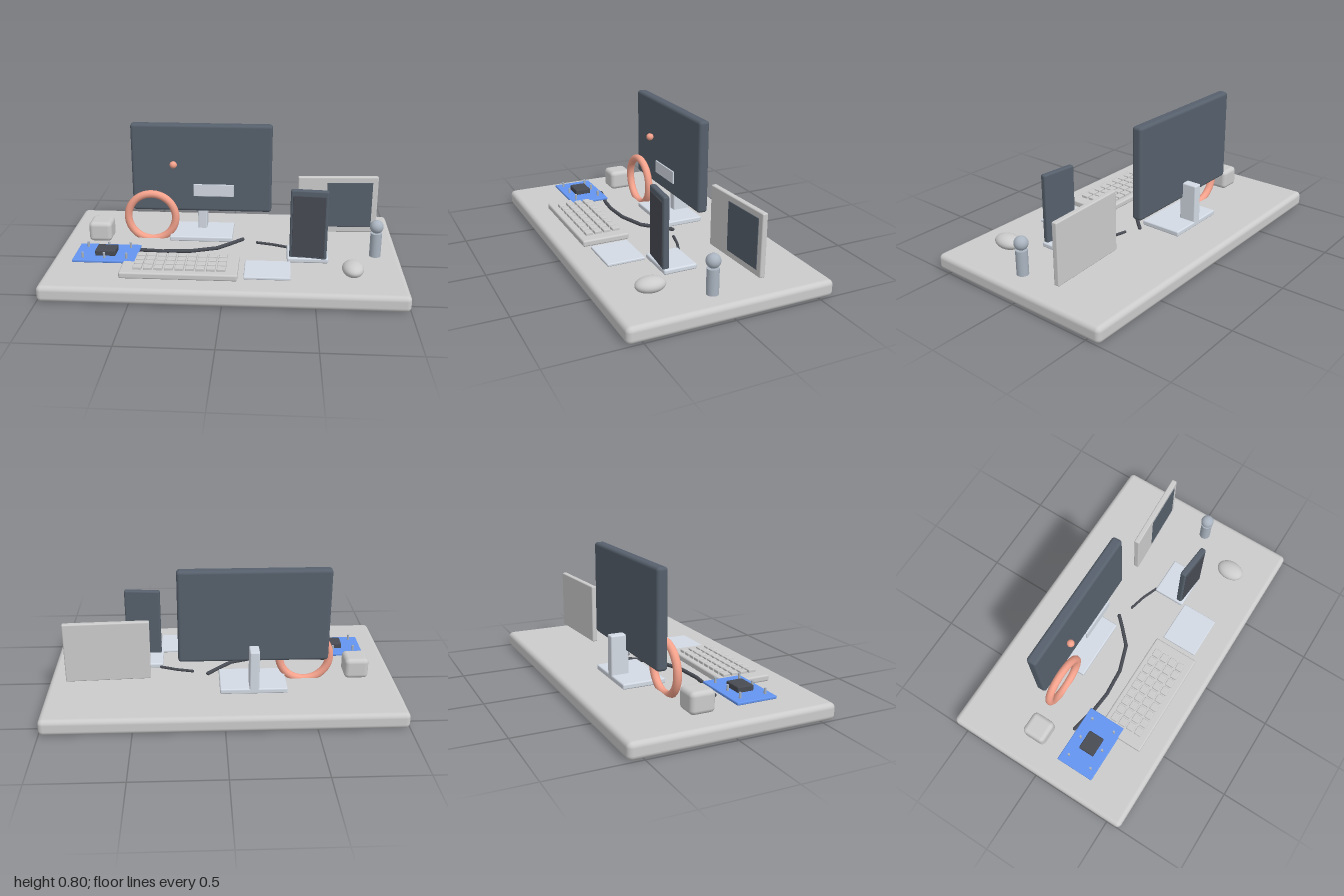
import * as THREE from 'three';
import { RoundedBoxGeometry } from 'three/addons/geometries/RoundedBoxGeometry.js';

const paint = (color) => new THREE.MeshStandardMaterial({ color });
const grey = paint(0xcccccc);
const dark = paint(0x56606c);
const black = paint(0x484b53);
const silver = paint(0xd3dae4);
const steel = paint(0xaab4c0);
const coral = paint(0xf4a28c);
const blue = paint(0x6495f0);

const TOP = 0.093; // desk surface height

export function createModel() {
  const model = new THREE.Group();

  const add = (name, geometry, material, x, y, z, parent = model) => {
    const mesh = new THREE.Mesh(geometry, material);
    mesh.name = name;
    mesh.position.set(x, y, z);
    parent.add(mesh);
    return mesh;
  };

  // Rounded box given by its extents on each axis
  const block = (name, material, [x0, x1], [y0, y1], [z0, z1], radius, parent) => {
    const w = x1 - x0, h = y1 - y0, d = z1 - z0;
    const r = Math.min(radius, w * 0.49, h * 0.49, d * 0.49);
    return add(name, new RoundedBoxGeometry(w, h, d, 3, r), material,
      (x0 + x1) / 2, (y0 + y1) / 2, (z0 + z1) / 2, parent);
  };

  const group = (name, x, y, z, turn = 0) => {
    const g = new THREE.Group();
    g.name = name;
    g.position.set(x, y, z);
    g.rotation.y = turn;
    model.add(g);
    return g;
  };

  block('desk', grey, [-1, 1], [0, TOP], [-0.584, 0.584], 0.028);

  // Monitor with its stand
  block('monitorScreen', dark, [-0.595, 0.252], [0.252, 0.795], [-0.243, -0.18], 0.018);
  block('monitorPost', silver, [-0.2, -0.145], [0.1, 0.35], [-0.33, -0.225], 0.008);
  block('monitorBase', silver, [-0.36, 0.02], [TOP, 0.124], [-0.33, -0.078], 0.008);
  block('screenPlate', silver, [-0.215, 0.026], [0.367, 0.442], [-0.139, -0.13], 0.002);
  add('screenBall', new THREE.SphereGeometry(0.022, 24, 16), coral, -0.337, 0.556, -0.15);

  // Ring standing on the desk, sunk slightly into it
  add('ring', new THREE.TorusGeometry(0.145, 0.023, 16, 64), coral, -0.473, 0.228, -0.138);

  // Keyboard with a grid of keys
  const keyboard = group('keyboard', 0, 0, 0);
  block('keyboardBody', grey, [-0.573, 0.078], [TOP, 0.13], [0.175, 0.455], 0.01, keyboard);
  const keyShape = new RoundedBoxGeometry(0.048, 0.022, 0.043, 2, 0.004);
  for (let row = 0; row < 4; row++) {
    for (let col = 0; col < 9; col++) {
      add('key', keyShape, grey, -0.476 + col * 0.058, 0.135, 0.228 + row * 0.0545, keyboard);
    }
  }

  // Trackpad and mouse
  block('trackpad', silver, [0.11, 0.368], [TOP, 0.11], [0.203, 0.425], 0.006);
  add('mouse', new THREE.SphereGeometry(1, 32, 20), grey, 0.709, 0.134, 0.332)
    .scale.set(0.06, 0.041, 0.084);

  // Phone on its dock, slightly turned
  block('phoneDock', silver, [0.348, 0.584], [TOP, 0.124], [-0.002, 0.193], 0.01);
  const phone = group('phone', 0.467, 0, 0.168, -0.09);
  block('phoneBody', dark, [-0.106, 0.106], [0.115, 0.527], [-0.018, 0.017], 0.01, phone);
  block('phoneScreen', black, [-0.092, 0.092], [0.13, 0.495], [0.012, 0.02], 0.002, phone);

  // Tablet, slightly turned the other way
  const tablet = group('tablet', 0.65, 0, -0.199, 0.052);
  block('tabletBody', grey, [-0.24, 0.24], [0.134, 0.487], [-0.016, 0.016], 0.007, tablet);
  block('tabletScreen', dark, [-0.065, 0.207], [0.17, 0.453], [0.01, 0.019], 0.002, tablet);

  // Little figure: cylinder body, ball head
  add('figureBody', new THREE.CylinderGeometry(0.033, 0.033, 0.143, 32), steel, 0.86, 0.165, 0.061);
  add('figureHead', new THREE.SphereGeometry(0.039, 32, 20), steel, 0.86, 0.275, 0.061);

  block('cube', grey, [-0.846, -0.708], [TOP, 0.215], [-0.18, -0.038], 0.026);

  // Circuit board with chip and two rows of pins
  block('circuitBoard', blue, [-0.864, -0.506], [0.115, 0.131], [0.073, 0.308], 0.005);
  block('chip', black, [-0.745, -0.628], [0.128, 0.162], [0.147, 0.243], 0.006);
  const pinShape = new THREE.CylinderGeometry(0.007, 0.007, 0.04, 12);
  for (const x of [-0.81, -0.687, -0.56]) {
    for (const z of [0.12, 0.27]) add('pin', pinShape, steel, x, 0.143, z);
  }

  // Cables: straight segments joined at small balls
  const cable = (name, radius, points) => {
    const g = group(name, 0, 0, 0);
    const y = TOP + radius + 0.002;
    const path = points.map(([x, z]) => new THREE.Vector3(x, y, z));
    for (let i = 0; i < path.length - 1; i++) {
      const line = new THREE.LineCurve3(path[i], path[i + 1]);
      add('cableSegment', new THREE.TubeGeometry(line, 1, radius, 12), black, 0, 0, 0, g);
    }
    for (const p of path) {
      add('cableJoint', new THREE.SphereGeometry(radius, 12, 8), black, p.x, p.y, p.z, g);
    }
  };
  cable('longCable', 0.011, [[-0.66, 0.057], [-0.495, 0.093], [-0.38, 0.104],
    [-0.217, 0.092], [-0.06, 0.038], [0.025, -0.043], [0.083, -0.103]]);
  cable('shortCable', 0.008, [[0.172, -0.065], [0.27, -0.04], [0.36, -0.004]]);

  return model;
}
